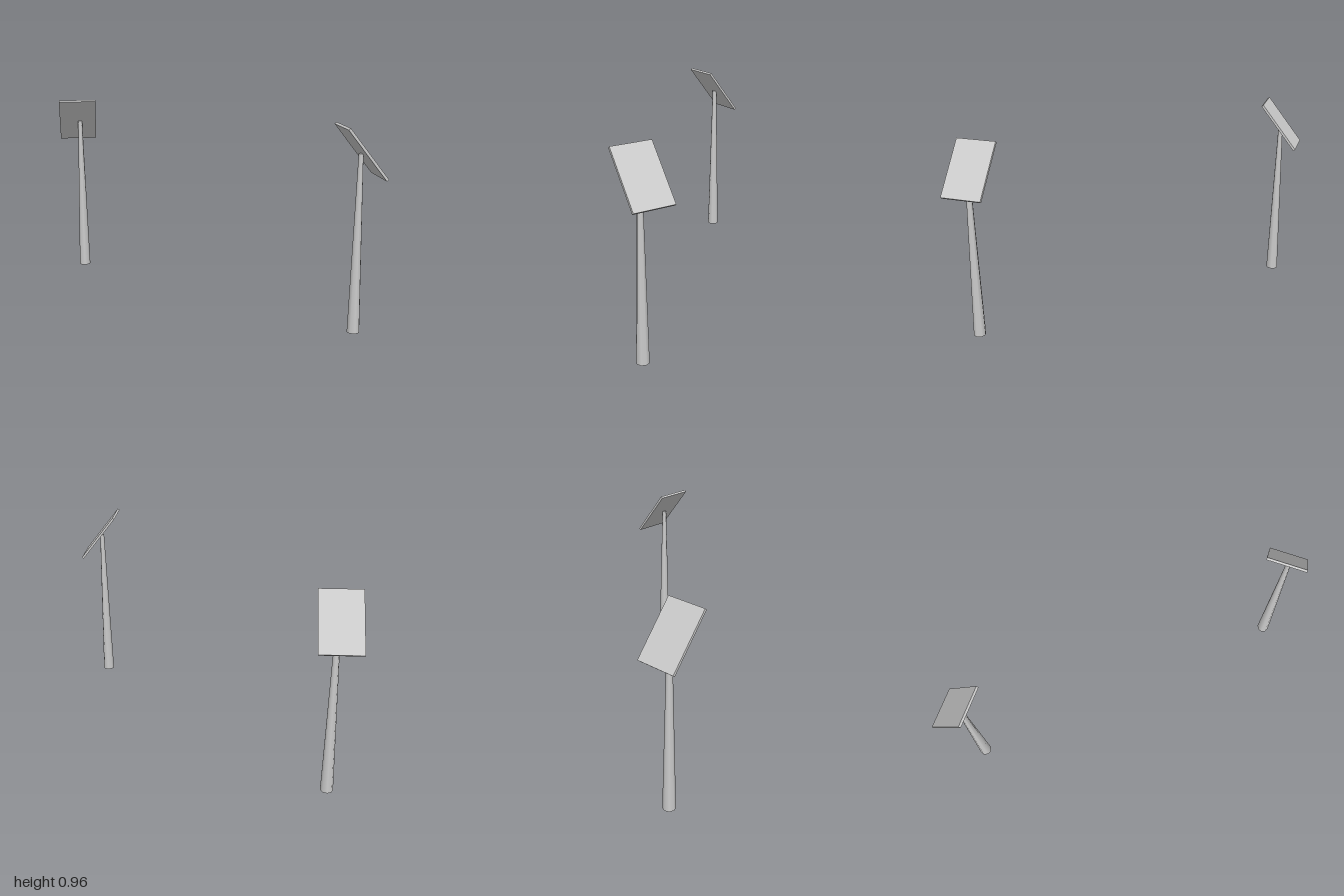
import * as THREE from 'three';

const POLE_HEIGHT = 0.83;
const TILT = THREE.MathUtils.degToRad(51.5);

export function createModel() {
  const model = new THREE.Group();
  const material = new THREE.MeshStandardMaterial({ color: 0xcccccc });

  // Slim tapered pole, closed at both ends
  const poleGeometry = new THREE.CylinderGeometry(0.011, 0.03, POLE_HEIGHT, 8);
  // Thin board: x is its width, y its thickness, z its slope
  const panelGeometry = new THREE.BoxGeometry(0.197, 0.012, 0.29);

  const addPost = (name, side, poleAt, panelAt) => {
    const post = new THREE.Group();
    post.name = name;

    const pole = new THREE.Mesh(poleGeometry, material);
    pole.name = 'pole';
    pole.position.set(poleAt[0], POLE_HEIGHT / 2, poleAt[1]);

    // The board climbs towards the front and the middle
    const panel = new THREE.Mesh(panelGeometry, material);
    panel.name = 'tiltedPanel';
    panel.rotation.set(-TILT, -side * Math.PI / 4, 0, 'YXZ');
    panel.position.set(panelAt[0], 0.838, panelAt[1]);

    post.add(pole, panel);
    model.add(post);
  };

  addPost('leftPost', 1, [0.862, 0.005], [0.858, -0.006]);
  addPost('rightPost', -1, [-0.853, -0.006], [-0.862, 0.002]);
  return model;
}
